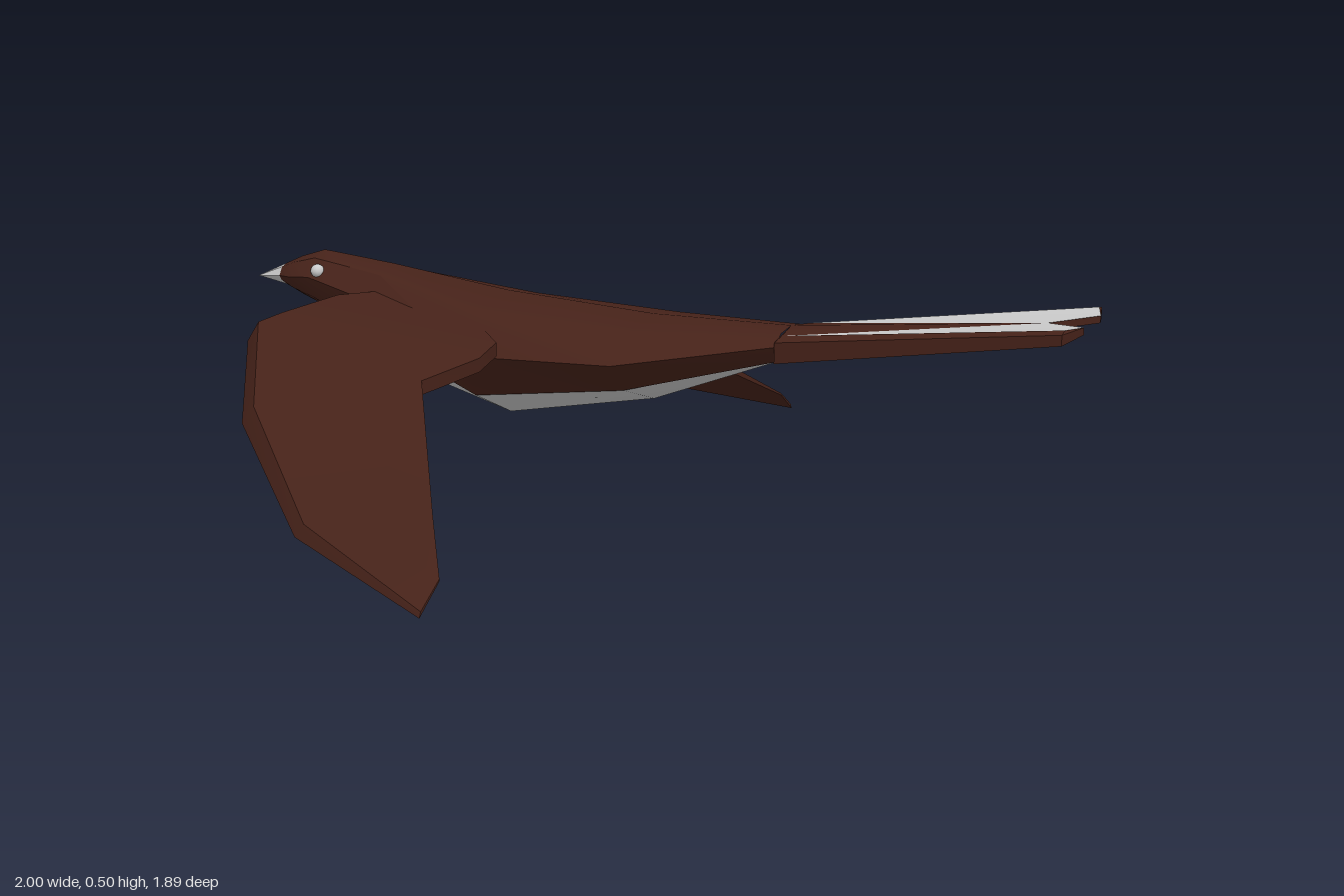
import * as THREE from 'three';
import { toCreasedNormals } from 'three/addons/utils/BufferGeometryUtils.js';

const brown = new THREE.MeshStandardMaterial({ color: 0x462219 });
const grey = new THREE.MeshStandardMaterial({ color: 0xcccccc });

// Mesh from convex polygons (arrays of [x, y, z] corners), split into fans.
// mirror = true reflects the part across z = 0.
function polyMesh(name, polygons, material, { mirror = false, crease = 0.45 } = {}) {
  const out = [];
  for (const poly of polygons) {
    for (let i = 1; i < poly.length - 1; i++) {
      const tri = [poly[0], poly[i], poly[i + 1]];
      if (mirror) tri.reverse();
      for (const [x, y, z] of tri) out.push(x, y, mirror ? -z : z);
    }
  }
  const geometry = new THREE.BufferGeometry();
  geometry.setAttribute('position', new THREE.Float32BufferAttribute(out, 3));
  const mesh = new THREE.Mesh(toCreasedNormals(geometry, crease), material);
  mesh.name = name;
  return mesh;
}

// Body stations: x, top y, side y, belly edge y, bottom y, half width
const stations = [
  [-0.92, 0.465, 0.44, 0.428, 0.415, 0.03],
  [-0.875, 0.485, 0.445, 0.418, 0.395, 0.063],
  [-0.81, 0.505, 0.45, 0.4, 0.37, 0.075],
  [-0.74, 0.498, 0.435, 0.375, 0.335, 0.085],
  [-0.62, 0.485, 0.41, 0.32, 0.25, 0.105],
  [-0.32, 0.445, 0.335, 0.235, 0.165, 0.225],
  [0.04, 0.42, 0.345, 0.28, 0.23, 0.225],
  [0.36, 0.42, 0.39, 0.355, 0.35, 0.1],
];
const BELLY_START = 3;

// Eight-point cross-section, from the top round the +z side
function bodyRing([x, top, side, low, bottom, w]) {
  const shoulder = top - (top - side) * 0.25;
  const half = [[shoulder, 0.6 * w], [side, w], [low, 0.71 * w]];
  return [
    [x, top, 0],
    ...half.map(([y, z]) => [x, y, z]),
    [x, bottom, 0],
    ...half.reverse().map(([y, z]) => [x, y, -z]),
  ];
}

function createBody() {
  const rings = stations.map(bodyRing);
  const back = [], belly = [], beak = [];
  for (let i = 0; i < rings.length - 1; i++) {
    for (let j = 0; j < 8; j++) {
      const k = (j + 1) % 8;
      const quad = [rings[i][j], rings[i][k], rings[i + 1][k], rings[i + 1][j]];
      const under = i >= BELLY_START && (j === 3 || j === 4);
      (under ? belly : back).push(quad);
    }
  }
  const tip = [-1, 0.43, 0];
  rings[0].forEach((p, j) => beak.push([tip, rings[0][(j + 1) % 8], p]));
  const body = new THREE.Group();
  body.name = 'body';
  body.add(
    polyMesh('headAndBack', back, brown, { crease: 0.6 }),
    polyMesh('belly', belly, grey, { crease: 0.8 }),
    polyMesh('beak', beak, grey),
  );
  return body;
}

// Wing stations: leading edge point, trailing edge point, thickness
const wingStations = [
  [[-0.62, 0.39, 0.06], [-0.36, 0.37, 0.1], 0.045],
  [[-0.71, 0.385, 0.15], [-0.225, 0.345, 0.235], 0.05],
  [[-0.765, 0.365, 0.3], [-0.225, 0.325, 0.31], 0.05],
  [[-0.78, 0.355, 0.36], [-0.28, 0.3, 0.455], 0.05],
  [[-0.63, 0.235, 0.6], [-0.19, 0.22, 0.59], 0.04],
  [[-0.37, 0.075, 0.8], [-0.08, 0.125, 0.755], 0.025],
  [[0, 0.005, 0.945], [0, 0.055, 0.87], 0.008],
];

function createWing(name, mirror) {
  // Each section: leading edge, crest behind it, trailing top, trailing bottom
  const rings = wingStations.map(([lead, trail, t]) => {
    const crest = new THREE.Vector3(...lead)
      .lerp(new THREE.Vector3(...trail), 0.07).toArray();
    crest[1] += t;
    return [lead, crest, [trail[0], trail[1] + t * 0.6, trail[2]], trail];
  });
  const faces = [];
  for (let i = 0; i < rings.length - 1; i++) {
    for (let j = 0; j < 4; j++) {
      const k = (j + 1) % 4;
      faces.push([rings[i][j], rings[i][k], rings[i + 1][k], rings[i + 1][j]]);
    }
  }
  faces.push(rings[rings.length - 1]);
  faces.forEach((f) => f.reverse());
  return polyMesh(name, faces, brown, { mirror });
}

// One half of the forked tail: pale vane, dark outer edge and centre wedge
function createTailHalf(name, mirror) {
  const rootTop = [0.36, 0.42, 0], rootLow = [0.36, 0.35, 0];
  const edgeTop = [0.36, 0.4, 0.1], edgeLow = [0.36, 0.355, 0.1];
  const vaneRoot = [0.37, 0.412, 0.08], vaneTip = [0.98, 0.485, 0.14];
  const notchTop = [0.91, 0.47, 0], notchLow = [0.91, 0.455, 0];
  const innerTop = [1, 0.48, 0.07], innerLow = [1, 0.465, 0.07];
  const outerTop = [0.98, 0.48, 0.165], outerLow = [0.98, 0.458, 0.165];
  const half = new THREE.Group();
  half.name = name;
  half.add(
    polyMesh('tailVane', [
      [vaneRoot, vaneTip, innerTop, notchTop],
      [edgeLow, notchLow, innerLow, outerLow],
    ], grey, { mirror }),
    polyMesh('tailEdge', [
      [rootTop, vaneRoot, notchTop],
      [rootTop, edgeTop, vaneRoot],
      [edgeTop, outerTop, vaneTip, vaneRoot],
      [edgeTop, edgeLow, outerLow, outerTop],
      [outerTop, outerLow, innerLow, innerTop],
      [outerTop, innerTop, vaneTip],
      [innerTop, innerLow, notchLow, notchTop],
      [rootLow, notchLow, edgeLow],
    ], brown, { mirror }),
  );
  return half;
}

export function createModel() {
  const bird = new THREE.Group();
  bird.name = 'bird';
  bird.add(createBody());
  for (const [side, s] of [['left', 1], ['right', -1]]) {
    // Wings and tail halves lie on the +z and -z sides
    const label = s > 0 ? 'front' : 'rear';
    bird.add(createWing(`${label}Wing`, s < 0), createTailHalf(`${label}TailHalf`, s < 0));
    const eye = new THREE.Mesh(new THREE.SphereGeometry(0.016, 12, 8), grey);
    eye.name = `${label}Eye`;
    eye.position.set(-0.79, 0.465, s * 0.064);
    bird.add(eye);
  }
  return bird;
}
